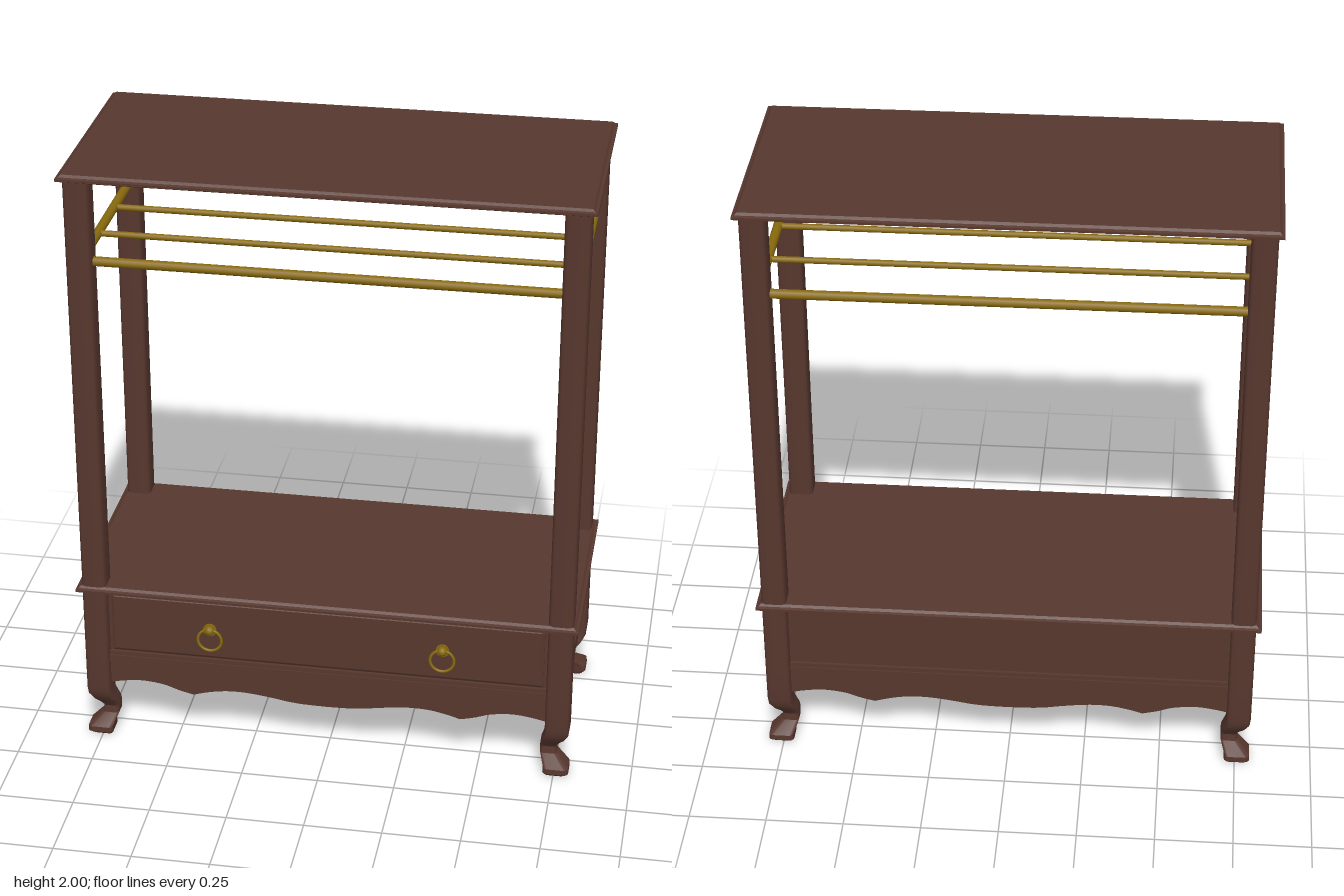
import * as THREE from 'three';
import { toCreasedNormals } from 'three/addons/utils/BufferGeometryUtils.js';

const wood = new THREE.MeshStandardMaterial({ color: 0x57372e });
wood.name = 'dark walnut';
const brass = new THREE.MeshStandardMaterial({ color: 0x886a0e });
brass.name = 'aged brass';

// Rounded rectangle outline, counted from +x towards +z
function outline(hx, hz, r, steps) {
  const pts = [];
  [[1, 1], [-1, 1], [-1, -1], [1, -1]].forEach(([sx, sz], q) => {
    for (let i = 0; i <= steps; i++) {
      const a = (q + (steps ? i / steps : 0)) * Math.PI / 2;
      const rx = steps ? r * Math.cos(a) : 0, rz = steps ? r * Math.sin(a) : 0;
      pts.push([sx * (hx - r) + rx, sz * (hz - r) + rz]);
    }
  });
  return pts;
}

// Skin closed rings that share a point count; each ring is { y, pts }, bottom to top
function loft(rings, crease) {
  const pos = [], n = rings[0].pts.length;
  const put = (r, i) => pos.push(r.pts[i % n][0], r.y, r.pts[i % n][1]);
  for (let k = 0; k < rings.length - 1; k++) {
    const lo = rings[k], hi = rings[k + 1];
    for (let i = 0; i < n; i++) {
      put(lo, i); put(hi, i); put(lo, i + 1);
      put(lo, i + 1); put(hi, i); put(hi, i + 1);
    }
  }
  const bottom = rings[0], top = rings[rings.length - 1];
  for (let i = 1; i < n - 1; i++) {
    put(bottom, 0); put(bottom, i); put(bottom, i + 1);
    put(top, 0); put(top, i + 1); put(top, i);
  }
  const geo = new THREE.BufferGeometry();
  geo.setAttribute('position', new THREE.Float32BufferAttribute(pos, 3));
  geo.computeVertexNormals();
  return crease ? toCreasedNormals(geo, crease) : geo;
}

export function createModel() {
  const model = new THREE.Group();
  model.name = 'clothesRack';

  function add(name, geo, mat, x = 0, y = 0, z = 0) {
    const mesh = new THREE.Mesh(geo, mat);
    mesh.name = name;
    mesh.position.set(x, y, z);
    model.add(mesh);
    return mesh;
  }
  const box = (name, w, h, d, x, y, z) => add(name, new THREE.BoxGeometry(w, h, d), wood, x, y, z);

  // Moulded boards: top and shelf
  const edge = [[0, 0.795], [0.005, 0.805], [0.009, 0.814], [0.017, 0.814], [0.02, 0.805], [0.027, 0.798]];
  const board = (name, y0) => add(name, loft(edge.map(([y, hx]) => (
    { y: y0 + y, pts: outline(hx, hx - 0.443, 0, 0) }))), wood);
  board('topBoard', 1.973);
  board('shelfBoard', 0.545);

  // Posts running down into curved legs: height, diagonal offset, half width
  const legProfile = [
    [0, -0.004, 0.033], [0.012, 0, 0.042], [0.03, 0, 0.041], [0.045, -0.012, 0.035],
    [0.065, -0.028, 0.027], [0.09, -0.03, 0.026], [0.11, -0.023, 0.031], [0.13, -0.012, 0.036],
    [0.155, -0.002, 0.039], [0.18, 0, 0.04], [0.3, 0, 0.04], [1.975, 0, 0.04],
  ];
  for (const sx of [-1, 1]) for (const sz of [-1, 1]) {
    const rings = legProfile.map(([y, d, h]) => ({
      y,
      pts: outline(h, h, h * 0.35, 3).map(([x, z]) => [x + sx * (0.757 + d), z + sz * (0.317 + d)]),
    }));
    add('postAndLeg', loft(rings, 0.6), wood);
  }

  // Chest body and the rail and bead around its foot
  box('chestBody', 1.53, 0.27, 0.65, 0, 0.415, 0);
  for (const s of [-1, 1]) {
    box('lowerRail', 1.46, 0.026, 0.02, 0, 0.293, s * 0.33);
    box('lowerBead', 1.46, 0.014, 0.012, 0, 0.313, s * 0.329);
    box('sideLowerRail', 0.02, 0.026, 0.58, s * 0.77, 0.293, 0);
    box('sideLowerBead', 0.012, 0.014, 0.58, s * 0.769, 0.313, 0);
  }

  // Drawer front with a bevelled rim
  const drawer = loft([
    { y: 0, pts: outline(0.706, 0.106, 0, 0) },
    { y: 0.006, pts: outline(0.706, 0.106, 0, 0) },
    { y: 0.011, pts: outline(0.697, 0.097, 0, 0) },
  ]);
  add('drawerFront', drawer, wood, 0, 0.431, 0.325).rotation.x = Math.PI / 2;

  // Scalloped aprons; the points describe one half, from the centre outwards
  function apron(name, half) {
    const curve = (pts) => new THREE.SplineCurve(pts.map(([x, y]) => new THREE.Vector2(x, y))).getPoints(14);
    const right = half.flatMap(curve);
    const left = right.slice(1).reverse().map((p) => new THREE.Vector2(-p.x, p.y));
    const end = right[right.length - 1].x;
    const shape = new THREE.Shape([...left, ...right,
      new THREE.Vector2(end, 0.285), new THREE.Vector2(-end, 0.285)]);
    const geo = new THREE.ExtrudeGeometry(shape, { depth: 0.022, bevelEnabled: false });
    return (x, z, turn) => { add(name, geo, wood, x, 0, z).rotation.y = turn; };
  }
  const longApron = apron('longApron', [
    [[0, 0.177], [0.1, 0.18], [0.19, 0.194], [0.27, 0.203], [0.34, 0.201], [0.4, 0.189], [0.44, 0.177]],
    [[0.442, 0.177], [0.49, 0.189], [0.54, 0.206], [0.61, 0.214], [0.67, 0.208], [0.73, 0.195]],
  ]);
  longApron(0, 0.312, 0);
  longApron(0, -0.312, Math.PI);
  const sideApron = apron('sideApron', [
    [[0, 0.177], [0.05, 0.181], [0.09, 0.198], [0.12, 0.206], [0.15, 0.196], [0.176, 0.177]],
    [[0.178, 0.177], [0.195, 0.194], [0.22, 0.212], [0.25, 0.209], [0.29, 0.192]],
  ]);
  sideApron(0.752, 0, Math.PI / 2);
  sideApron(-0.752, 0, -Math.PI / 2);

  // Drawer pulls: back plate, knob and hanging ring
  for (const x of [-0.38, 0.38]) {
    add('pullPlate', new THREE.CylinderGeometry(0.022, 0.022, 0.006, 20), brass, x, 0.435, 0.338).rotation.x = Math.PI / 2;
    add('pullKnob', new THREE.SphereGeometry(0.016, 16, 12), brass, x, 0.435, 0.344);
    add('pullRing', new THREE.TorusGeometry(0.039, 0.005, 8, 28), brass, x, 0.399, 0.344);
  }

  // Brass hanging frame: thick rails between the posts, thin bars across
  const rail = (name, r, length, x, z, axis) => {
    add(name, new THREE.CylinderGeometry(r, r, length, 16), brass, x, 1.706, z).rotation[axis] = Math.PI / 2;
  };
  for (const s of [-1, 1]) {
    rail('longRail', 0.015, 1.46, 0, s * 0.317, 'z');
    rail('sideRail', 0.015, 0.58, s * 0.757, 0, 'x');
    rail('hangingBar', 0.01, 1.51, 0, s * 0.106, 'z');
  }
  return model;
}
